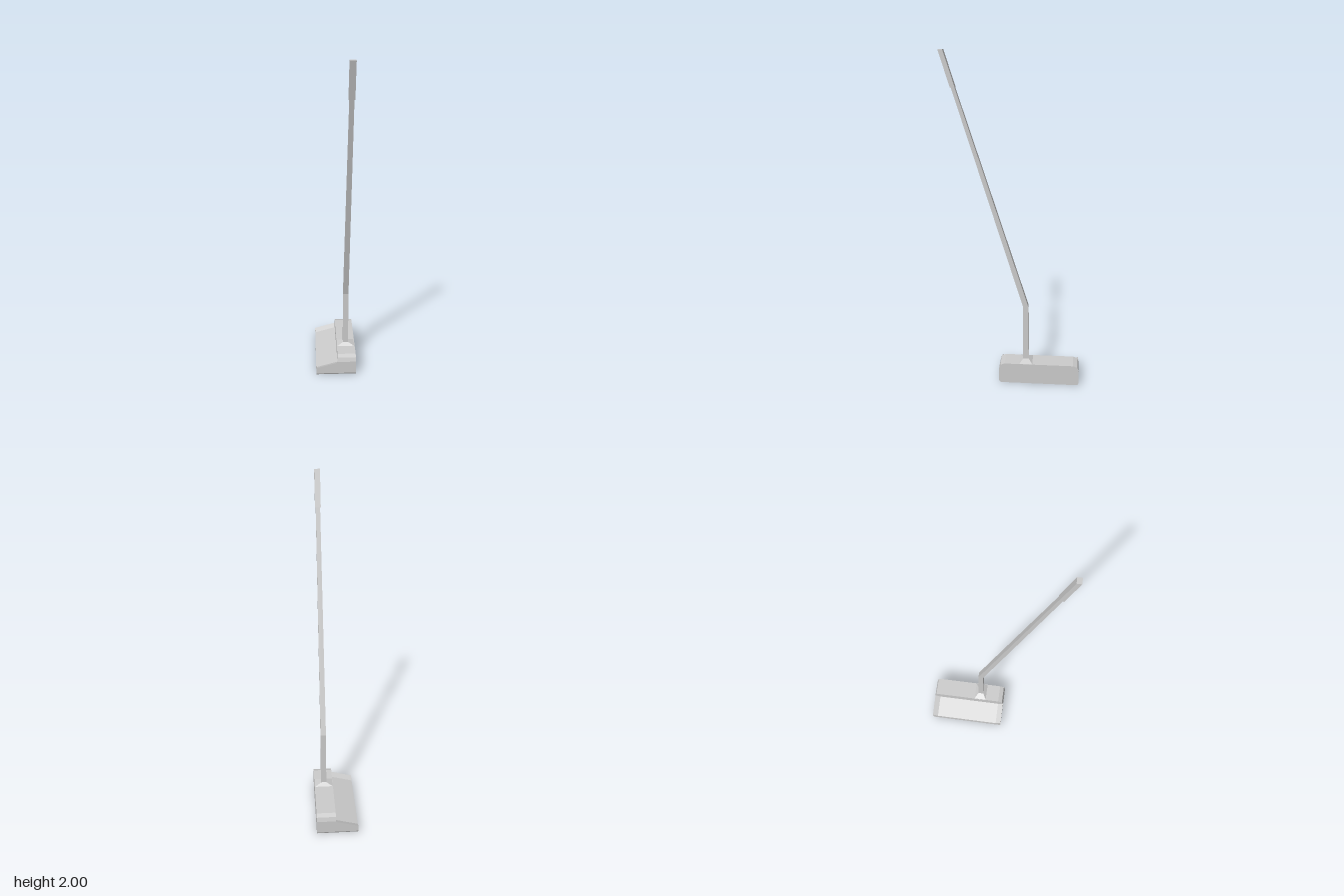
import * as THREE from 'three';

const material = new THREE.MeshStandardMaterial({ color: 0xcccccc, flatShading: true });

// Closed skin through matching cross-sections. Each section holds [u, v] points,
// counter-clockwise seen from the last section; place maps (u, v, t) to 3D.
function loft(name, sections, place) {
  const pos = [];
  const tri = (...pts) => pts.forEach((p) => pos.push(p.x, p.y, p.z));
  const rings = sections.map(({ t, pts }) => pts.map(([u, v]) => place(u, v, t)));
  const n = rings[0].length;
  for (let s = 0; s + 1 < rings.length; s++) {
    for (let i = 0; i < n; i++) {
      const j = (i + 1) % n;
      const [a, b, c, d] = [rings[s][i], rings[s][j], rings[s + 1][j], rings[s + 1][i]];
      tri(a, b, c);
      tri(a, c, d);
    }
  }
  // End caps
  const cap = (k, flip) => {
    const flat = sections[k].pts.map(([u, v]) => new THREE.Vector2(u, v));
    for (const [a, b, c] of THREE.ShapeUtils.triangulateShape(flat, [])) {
      const r = rings[k];
      if (flip) tri(r[a], r[c], r[b]);
      else tri(r[a], r[b], r[c]);
    }
  };
  cap(0, true);
  cap(sections.length - 1, false);
  const geo = new THREE.BufferGeometry();
  geo.setAttribute('position', new THREE.Float32BufferAttribute(pos, 3));
  geo.computeVertexNormals();
  const mesh = new THREE.Mesh(geo, material);
  mesh.name = name;
  return mesh;
}

const alongX = (y, z, x) => new THREE.Vector3(x, y, z);
const alongY = (z, x, y) => new THREE.Vector3(x, y, z);

// Head outline: half profile of [y, distance from middle], mirrored front to back
const HEAD_Z = -0.16;
function mirrored(half) {
  const back = half.map(([y, d]) => [y, HEAD_Z - d]);
  const front = half.map(([y, d]) => [y, HEAD_Z + d]).reverse();
  return [...back, ...front];
}

// Rectangular section at height y
function rect(y, z, halfDepth, x, halfWidth) {
  return {
    t: y,
    pts: [
      [z - halfDepth, x - halfWidth], [z + halfDepth, x - halfWidth],
      [z + halfDepth, x + halfWidth], [z - halfDepth, x + halfWidth],
    ],
  };
}

export function createModel() {
  const group = new THREE.Group();
  group.name = 'putter';

  // Tall striking block with rounded ends
  const block = mirrored([
    [0, 0.233], [0.004, 0.24], [0.014, 0.245], [0.095, 0.245], [0.122, 0.237], [0.132, 0.21],
  ]);
  group.add(loft('headBlock', [{ t: 0.01, pts: block }, { t: 0.125, pts: block }], alongX));

  // Sloping rear flange: sunken floor with raised rims at both ends
  const flange = (x, rim) => ({
    t: x,
    pts: mirrored([[0, 0.233], [0.004, 0.24], [0.014, 0.245], [rim, 0.245], [rim - 0.015, 0.21]]),
  });
  group.add(loft('flange', [flange(-0.125, 0.052), flange(0.01, 0.09)], alongX));

  // Tapered collar joining shaft and head
  const X = 0.067;
  group.add(loft('collar', [
    rect(0.131, -0.08, 0.041, X, 0.0575),
    rect(0.148, -0.079, 0.0175, X, 0.0165),
  ], alongY));

  // Square shaft, bent above the neck and narrowing to the grip
  group.add(loft('shaft', [
    rect(0.14, -0.079, 0.0175, X, 0.0165),
    rect(0.5, -0.075, 0.016, X, 0.0165),
    rect(1.81, 0.333, 0.0105, X, 0.0125),
  ], alongY));

  // Thicker grip
  group.add(loft('grip', [
    rect(1.8, 0.331, 0.0135, X, 0.0165),
    rect(2, 0.392, 0.013, X, 0.0165),
  ], alongY));

  return group;
}
